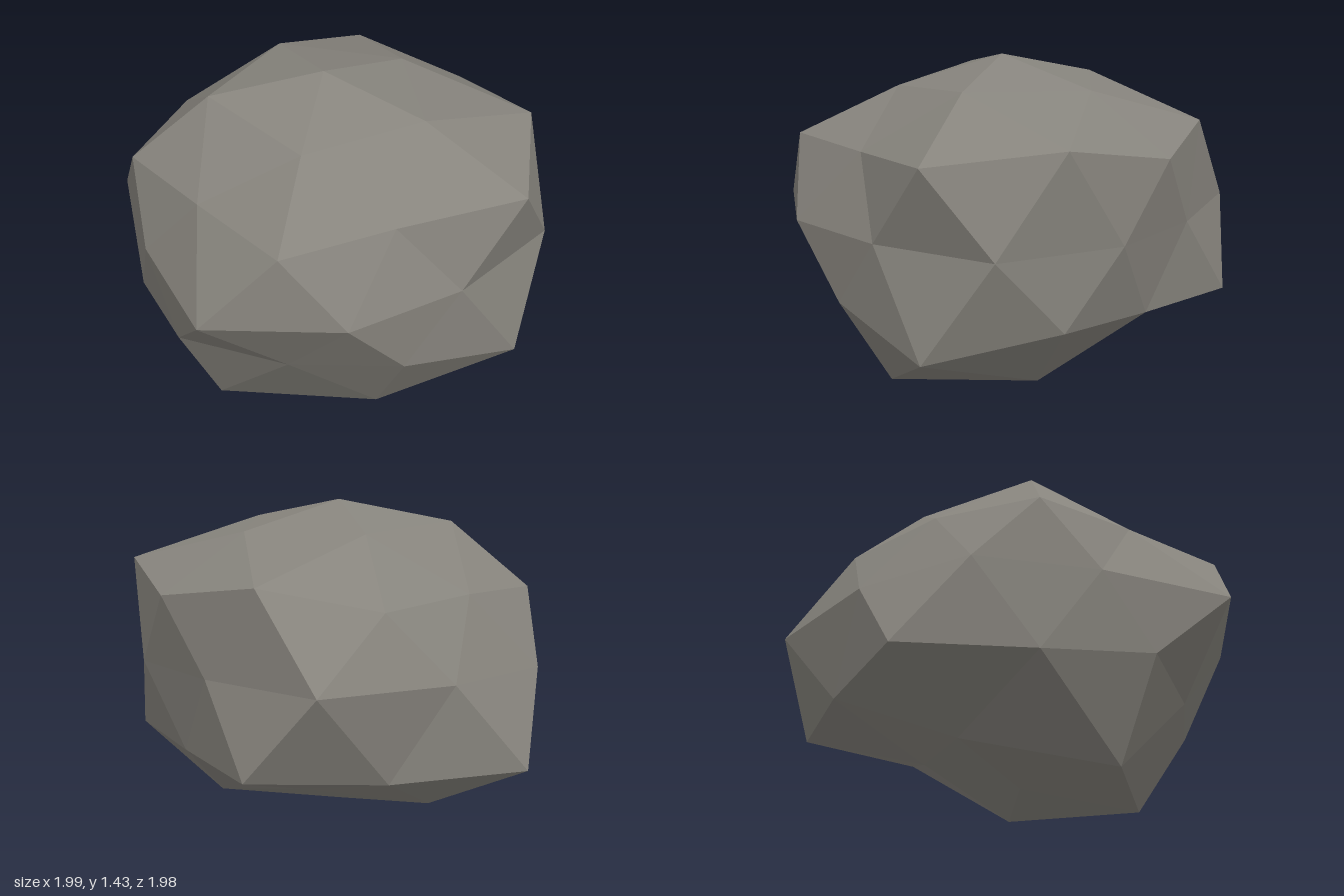
import * as THREE from 'three';

// Rows of boulder points: [height on unit sphere, first azimuth in degrees, radii around the row]
const ROWS = [
  [1, 0, [0.926]],
  [0.851, 0, [0.93, 0.865, 0.94, 0.915, 0.9]],
  [0.526, 36, [0.84, 0.83, 0.84, 1.02, 1.08]],
  [0.447, 0, [1.085, 1.0, 0.93, 0.89, 0.97]],
  [0, 18, [0.86, 0.92, 1.033, 0.84, 0.917, 0.9, 1.055, 0.842, 0.872, 0.993]],
  [-0.447, 36, [0.93, 0.94, 1.143, 1.11, 0.99]],
  [-0.526, 0, [1.14, 0.86, 0.97, 1.01, 0.9]],
  [-0.851, 36, [1.105, 1.18, 0.965, 0.83, 1.015]],
  [-1, 0, [0.905]],
];
const SQUASH = 0.74;
const CENTRE = new THREE.Vector3(0.02, 0.745, -0.045);

// Radius of the rock in a given direction
function radiusAt(p) {
  const [, start, radii] = ROWS.reduce((a, b) => (Math.abs(b[0] - p.y) < Math.abs(a[0] - p.y) ? b : a));
  const n = radii.length;
  const azimuth = THREE.MathUtils.radToDeg(Math.atan2(p.z, p.x));
  const i = Math.round((azimuth - start) / (360 / n));
  return radii[((i % n) + n) % n];
}

// Icosahedron standing on a corner, each side split in two
function poleIcosphere() {
  const points = [0, 1, 0];
  const ring = (y, offset) => {
    for (let k = 0; k < 5; k++) {
      const a = THREE.MathUtils.degToRad(offset + 72 * k);
      points.push(2 * Math.abs(y) * Math.cos(a), y, 2 * Math.abs(y) * Math.sin(a));
    }
  };
  ring(Math.sqrt(0.2), 0);
  ring(-Math.sqrt(0.2), 36);
  points.push(0, -1, 0);
  const faces = [];
  for (let k = 0; k < 5; k++) {
    const u = 1 + k, u2 = 1 + ((k + 1) % 5), l = 6 + k, l2 = 6 + ((k + 1) % 5);
    faces.push(0, u2, u, u2, l, u, l, u2, l2, 11, l, l2);
  }
  return new THREE.PolyhedronGeometry(points, faces, 1, 1);
}

export function createModel() {
  const stone = new THREE.MeshStandardMaterial({ color: 0x87847d });
  stone.name = 'stone grey';
  stone.flatShading = true;

  // Push every corner out to its radius, then flatten the rock
  const geometry = poleIcosphere();
  const position = geometry.attributes.position;
  const p = new THREE.Vector3();
  for (let i = 0; i < position.count; i++) {
    p.fromBufferAttribute(position, i).normalize();
    p.multiplyScalar(radiusAt(p));
    p.y *= SQUASH;
    p.add(CENTRE);
    position.setXYZ(i, p.x, p.y, p.z);
  }
  geometry.computeVertexNormals();

  const boulder = new THREE.Mesh(geometry, stone);
  boulder.name = 'boulder';
  const group = new THREE.Group();
  group.name = 'rock';
  group.add(boulder);
  return group;
}
